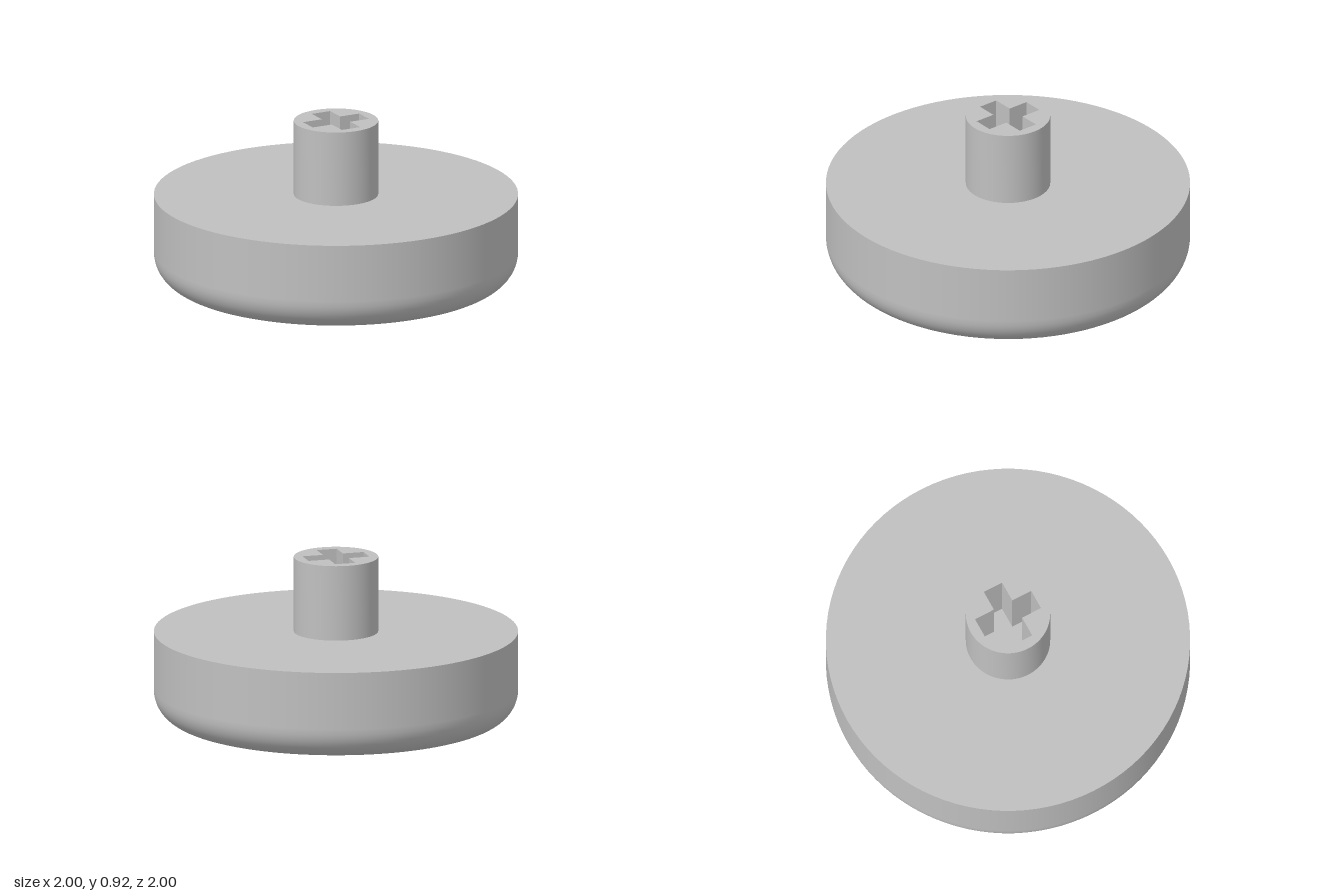
import * as THREE from 'three';
import { toCreasedNormals } from 'three/addons/utils/BufferGeometryUtils.js';

const SEGMENTS = 96;
const BODY_TOP = 0.5, STEM_TOP = 0.92;

// Plus-shaped outline from arm half length and half width
function crossPath(a, w) {
  const points = [
    [w, w], [w, a], [-w, a], [-w, w], [-a, w], [-a, -w],
    [-w, -w], [-w, -a], [w, -a], [w, -w], [a, -w], [a, w],
  ];
  return new THREE.Path(points.map(([x, y]) => new THREE.Vector2(x, y)));
}

export function createModel() {
  const group = new THREE.Group();
  const grey = new THREE.MeshStandardMaterial({ color: 0xc0c0c0 });
  grey.name = 'light grey';

  const add = (name, geometry, y = 0) => {
    const mesh = new THREE.Mesh(geometry, grey);
    mesh.name = name;
    mesh.position.y = y;
    group.add(mesh);
    return mesh;
  };

  // Round body: flat underside, rounded lower rim, straight wall
  const fillet = 0.17;
  const profile = [new THREE.Vector2(0, 0), new THREE.Vector2(0.82, 0)];
  for (let i = 0; i <= 12; i++) {
    const t = (i / 12) * Math.PI / 2;
    profile.push(new THREE.Vector2(1 - fillet + fillet * Math.sin(t), fillet - fillet * Math.cos(t)));
  }
  profile.push(new THREE.Vector2(1, fillet + 0.01), new THREE.Vector2(1, BODY_TOP));
  add('body', new THREE.LatheGeometry(profile, SEGMENTS));

  // Flat top face, which is also the floor of the socket
  add('bodyTop', new THREE.CircleGeometry(1, SEGMENTS).rotateX(-Math.PI / 2), BODY_TOP);

  // Stem with a cross-shaped socket
  const outline = new THREE.Shape().absarc(0, 0, 0.232, 0, Math.PI * 2);
  outline.holes.push(crossPath(0.175, 0.057));
  const stem = new THREE.ExtrudeGeometry(outline, {
    depth: STEM_TOP - BODY_TOP, bevelEnabled: false, curveSegments: 64,
  }).rotateX(-Math.PI / 2);
  add('stem', toCreasedNormals(stem, 0.5), BODY_TOP);

  return group;
}
